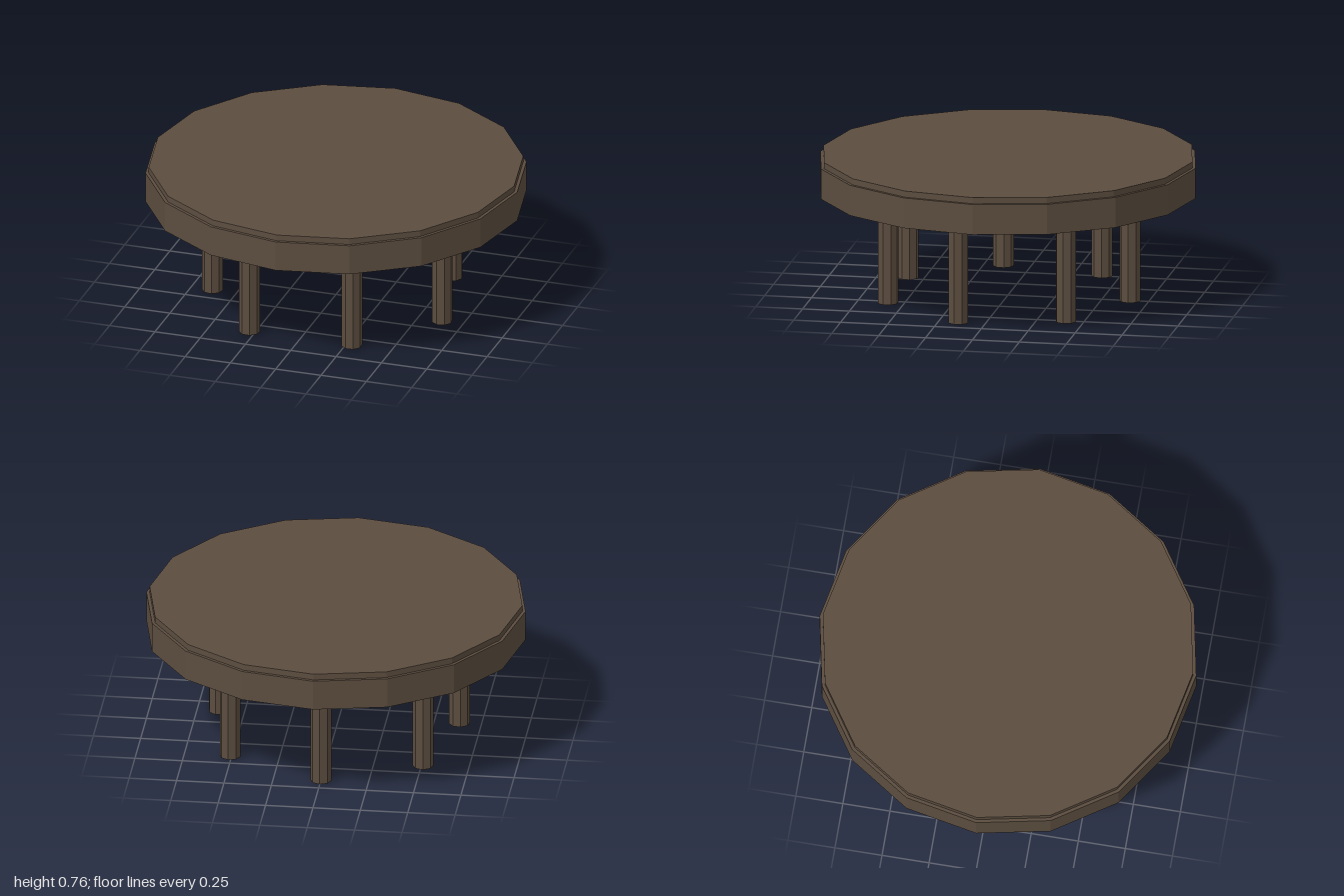
import * as THREE from 'three';

export function createModel() {
  const model = new THREE.Group();
  const wood = new THREE.MeshStandardMaterial({ color: 0x5c4d3f, flatShading: true });
  wood.name = 'dark wood';

  // Upright prism from y0 to y1
  const prism = (name, radius, sides, y0, y1) => {
    const mesh = new THREE.Mesh(new THREE.CylinderGeometry(radius, radius, y1 - y0, sides), wood);
    mesh.name = name;
    mesh.position.y = (y0 + y1) / 2;
    return mesh;
  };

  // Sixteen-sided top: deep apron with a slightly smaller board on it
  model.add(prism('tableApron', 1, 16, 0.567, 0.73));
  model.add(prism('tableBoard', 0.983, 16, 0.73, 0.763));

  // Ring of seven octagonal legs, each turned to face the centre
  const legCount = 7;
  for (let i = 0; i < legCount; i++) {
    const spoke = new THREE.Group();
    spoke.name = `leg${i + 1}`;
    spoke.rotation.y = -(i / legCount) * Math.PI * 2;
    const post = prism('legPost', 0.0555, 8, 0, 0.567);
    post.position.z = -0.65;
    spoke.add(post);
    model.add(spoke);
  }
  return model;
}
